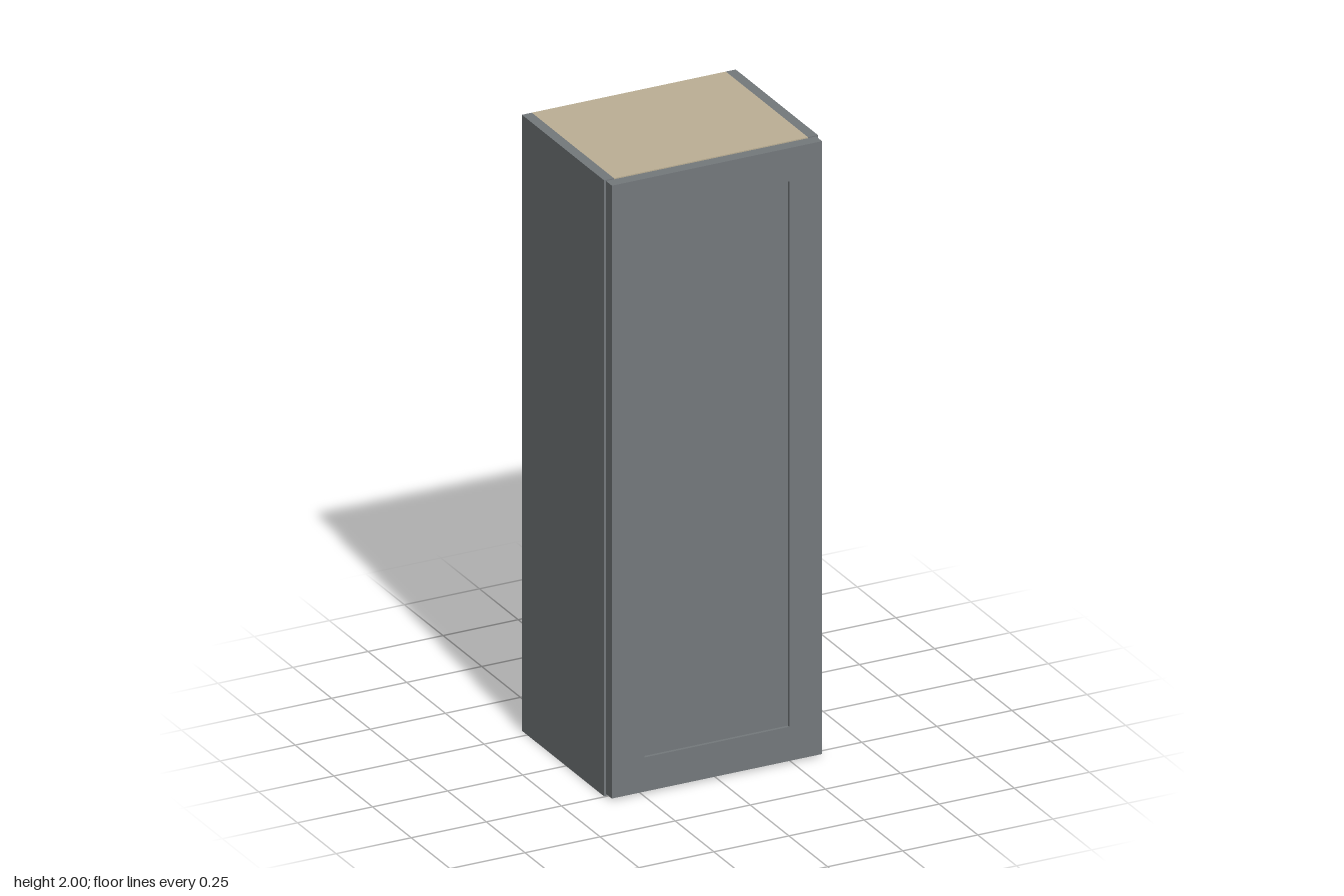
import * as THREE from 'three';

const paint = new THREE.MeshStandardMaterial({ color: 0x74797c });
const wood = new THREE.MeshStandardMaterial({ color: 0xbcb095 });

// Box given by its min and max corners
function board(name, material, [x0, y0, z0], [x1, y1, z1]) {
  const mesh = new THREE.Mesh(new THREE.BoxGeometry(x1 - x0, y1 - y0, z1 - z0), material);
  mesh.position.set((x0 + x1) / 2, (y0 + y1) / 2, (z0 + z1) / 2);
  mesh.name = name;
  return mesh;
}

function rectangle(PathType, x, y0, y1) {
  return new PathType([[-x, y0], [x, y0], [x, y1], [-x, y1]].map(p => new THREE.Vector2(...p)));
}

export function createModel() {
  const cabinet = new THREE.Group();
  cabinet.name = 'tallCabinet';

  const W = 0.356, H = 2, T = 0.033;      // half width, height, board thickness
  const back = -0.285, front = 0.246;     // carcass depth
  const inner = W - T;

  // Carcass: painted sides, wooden top, bottom and back
  cabinet.add(
    board('leftSide', paint, [inner, 0, back], [W, H, front]),
    board('rightSide', paint, [-W, 0, back], [-inner, H, front]),
    board('topBoard', wood, [-inner, H - T, back], [inner, H, front]),
    board('bottomBoard', wood, [-inner, 0, back], [inner, T, front]),
    board('backBoard', wood, [-inner, T, back], [inner, H - T, back + T])
  );

  // Door: a flat frame around a slightly recessed panel
  const door = new THREE.Group();
  door.name = 'door';
  const outline = rectangle(THREE.Shape, 0.35, 0.007, 1.997);
  outline.holes.push(rectangle(THREE.Path, 0.241, 0.118, 1.889));
  const frame = new THREE.Mesh(
    new THREE.ExtrudeGeometry(outline, { depth: 0.038, bevelEnabled: false }), paint);
  frame.position.z = 0.247;
  frame.name = 'doorFrame';
  door.add(frame, board('doorPanel', paint, [-0.241, 0.118, 0.247], [0.241, 1.889, 0.275]));
  cabinet.add(door);

  return cabinet;
}
